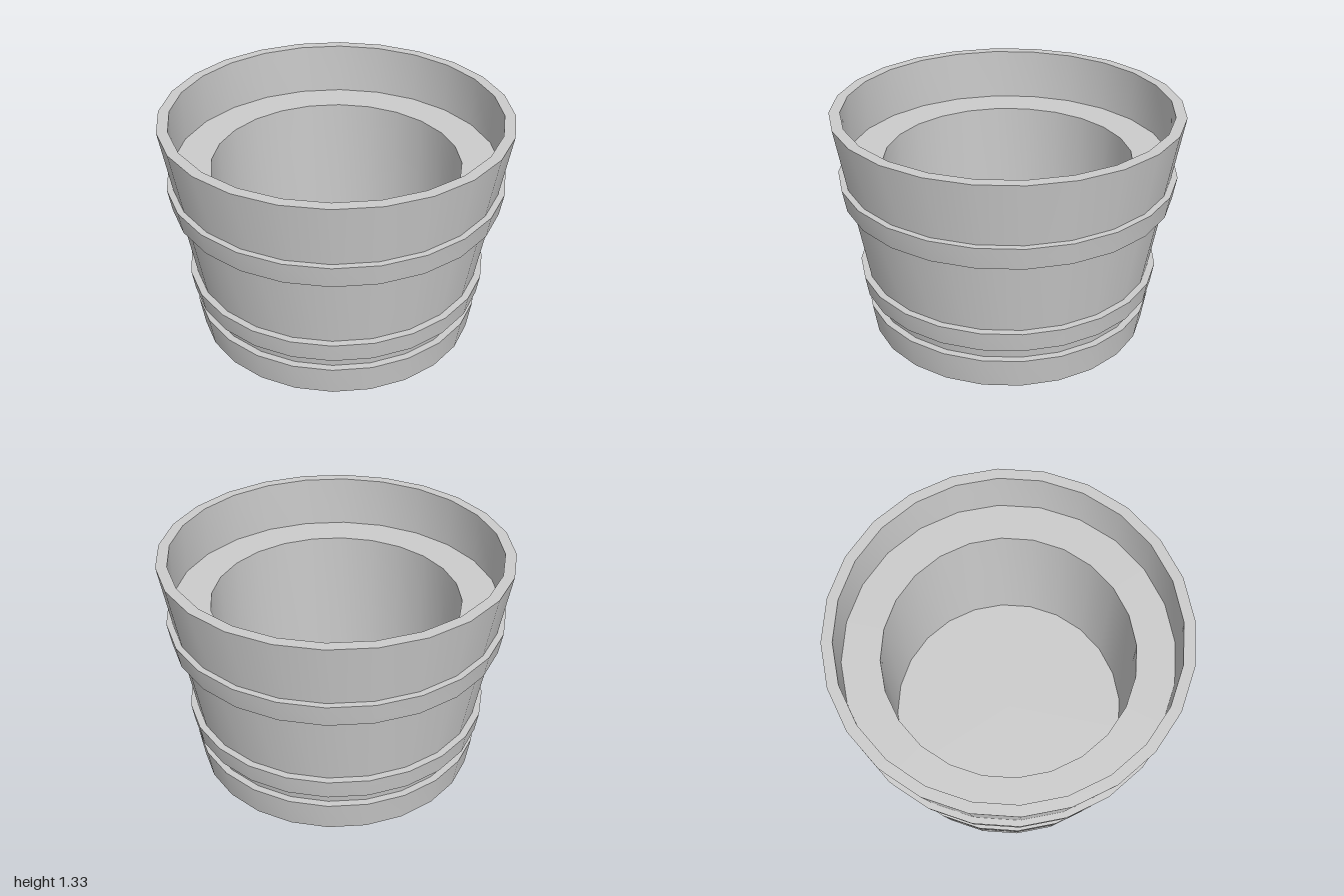
import * as THREE from 'three';
import { toCreasedNormals } from 'three/addons/utils/BufferGeometryUtils.js';

const SIDES = 24;
const TOP = 1.325;

// Outer radius of the tapered tub wall at height y
const wallRadius = (y) => 0.776 + (1 - 0.776) * (y / TOP);

function turned(name, profile, material) {
  const points = profile.map(([r, y]) => new THREE.Vector2(r, y));
  const lathe = new THREE.LatheGeometry(points, SIDES);
  const mesh = new THREE.Mesh(toCreasedNormals(lathe, Math.PI / 6), material);
  mesh.name = name;
  return mesh;
}

export function createModel() {
  const group = new THREE.Group();
  group.name = 'tub';
  const material = new THREE.MeshStandardMaterial({ color: 0xcccccc });

  // Tapered tub: outer wall, rim, inner ledge, deep well and floor
  group.add(turned('tubBody', [
    [0, 0.01], [wallRadius(0.01), 0.01],
    [1, TOP], [0.938, TOP],
    [0.938, 1.02], [0.72, 1.02],
    [0.72, 0.06], [0, 0.06],
  ], material));

  // Base hoop, closed underneath
  group.add(turned('baseHoop', [
    [0, 0], [0.82, 0], [0.848, 0.183], [wallRadius(0.183) - 0.01, 0.183],
  ], material));

  // Raised hoops: bottom height, bottom radius, top height, top radius
  const hoops = [
    ['lowerHoop', 0.263, 0.862, 0.383, 0.881],
    ['upperHoop', 0.83, 0.952, 0.96, 0.974],
  ];
  for (const [name, y0, r0, y1, r1] of hoops) {
    group.add(turned(name, [
      [wallRadius(y0) - 0.01, y0], [r0, y0], [r1, y1], [wallRadius(y1) - 0.01, y1],
    ], material));
  }

  return group;
}
